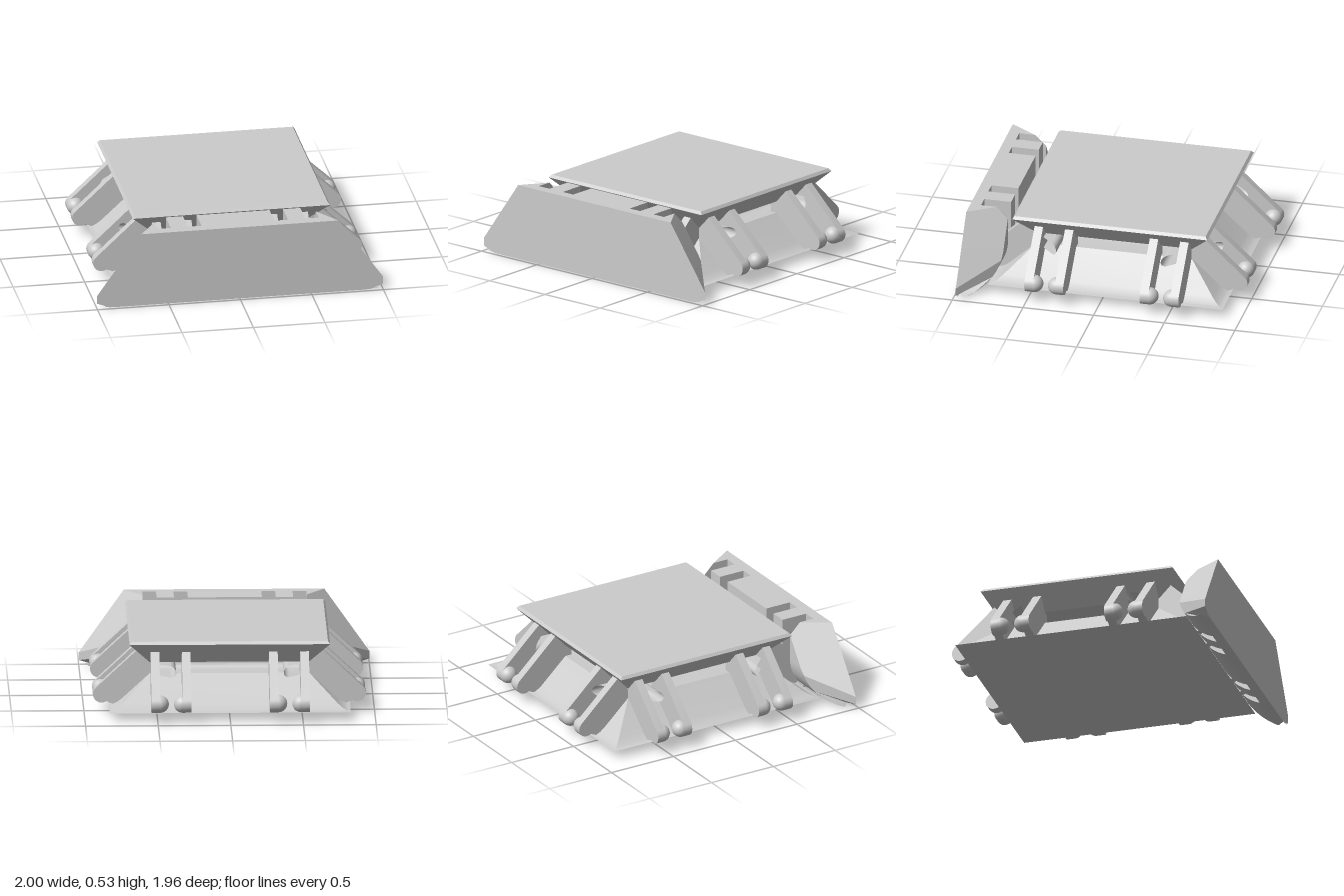
import * as THREE from 'three';
import { toCreasedNormals } from 'three/addons/utils/BufferGeometryUtils.js';

const mat = new THREE.MeshStandardMaterial({ color: 0xcccccc });
const thinMat = new THREE.MeshStandardMaterial({ color: 0xcccccc, side: THREE.DoubleSide });

function addMesh(parent, name, geometry, material = mat) {
  const m = new THREE.Mesh(geometry, material);
  m.name = name;
  parent.add(m);
  return m;
}

// Solid with a [z, y] outline, spanning x from xa to xb (numbers or functions of z, y)
function prism(outline, xa, xb) {
  const shape = new THREE.Shape(outline.map(([z, y]) => new THREE.Vector2(-z, y)));
  const g = new THREE.ExtrudeGeometry(shape, { depth: 1, bevelEnabled: false });
  g.rotateY(Math.PI / 2);
  const p = g.attributes.position;
  const at = (f, z, y) => (typeof f === 'function' ? f(z, y) : f);
  for (let i = 0; i < p.count; i++) {
    p.setX(i, at(p.getX(i) < 0.5 ? xa : xb, p.getZ(i), p.getY(i)));
  }
  return toCreasedNormals(g, 0.5);
}

// Square mitred solid from [half width, y] points, bottom to top
function squareSolid(points) {
  const pts = points.map(([h, y]) => new THREE.Vector2(h * Math.SQRT2, y));
  return toCreasedNormals(new THREE.LatheGeometry(pts, 4, Math.PI / 4), 0.5);
}

// Deep rounded groove along the +z side, widening as it goes inward
function grooveStrip() {
  const prof = [[0, 0.28]];
  for (let i = 0; i <= 12; i++) {
    const a = -Math.PI / 2 + (Math.PI * i) / 12;
    prof.push([0.14 + 0.04 * Math.cos(a), 0.32 + 0.04 * Math.sin(a)]);
  }
  prof.push([0, 0.36]);
  const pos = [], idx = [];
  prof.forEach(([d, y], i) => {
    pos.push(-0.55 - d, y, 0.55 - d, 0.55 + d, y, 0.55 - d);
    const k = i * 2;
    if (i) idx.push(k - 2, k - 1, k + 1, k - 2, k + 1, k);
  });
  const g = new THREE.BufferGeometry();
  g.setAttribute('position', new THREE.Float32BufferAttribute(pos, 3));
  g.setIndex(idx);
  return toCreasedNormals(g, 0.5);
}

// Snap arm outline: sloping outer edge, round tip, foot on the base
function armOutline() {
  const pts = [[0.5, 0.28], [0.5, 0.46], [0.62, 0.46]];
  for (let i = 0; i <= 14; i++) {
    const a = 0.75 - (2.9 * i) / 14;
    pts.push([0.88 + 0.06 * Math.cos(a), 0.135 + 0.06 * Math.sin(a)]);
  }
  pts.push([0.8, 0.065], [0.74, 0.1]);
  return pts;
}

// Front rail
const ZF = 0.975, ZB = 0.71, TOP = 0.53, R = 0.265;
function railArc(a0, a1, n = 20) {
  const pts = [];
  for (let i = 0; i <= n; i++) {
    const a = a0 + ((a1 - a0) * i) / n;
    pts.push([ZF - R * Math.cos(a), 0.27 - R * Math.sin(a) * (0.27 / R)]);
  }
  return pts;
}

// Mitred and sloping end of the rail, with a rounded lower corner
function railEnd(z, y) {
  const d = ZF - z;
  let x = Math.min(0.69 + 0.705 * (TOP - y) - 0.67 * d, 1 - d);
  if (y < 0.035) {
    const t = (0.035 - y) / 0.035;
    x = Math.min(x, 0.88 + 0.12 * Math.sqrt(Math.max(0, 1 - t * t)));
  }
  return Math.max(0.565, x);
}

function createRail() {
  const rail = new THREE.Group();
  rail.name = 'frontRail';
  const half = Math.PI / 2, split = 0.2245;
  const full = [[ZF, TOP], [ZB, TOP], ...railArc(0, half)];
  const slotWall = [[ZF, TOP], [0.9, TOP], ...railArc(Math.acos(0.075 / R), half, 8)];
  addMesh(rail, 'railCentre', prism(full, -0.255, 0.255));

  const endUpper = [[ZF, TOP], [0.79, TOP], [ZB, 0.45], ...railArc(0, split, 5), [ZF, 0.09]];
  const endLower = [[ZF, 0.09], ...railArc(split, half, 24)];
  for (let i = 3; i >= 1; i--) endLower.push([ZF, 0.035 * (1 - Math.sqrt(1 - (i / 4) ** 2))]);
  endLower.push([ZF, 0.035]);

  for (const s of [-1, 1]) {
    const side = s > 0 ? 'Left' : 'Right';
    const add = (name, outline, a, b) => {
      const flip = (f) => (typeof f === 'function' ? (z, y) => -f(z, y) : -f);
      addMesh(rail, name + side, s > 0 ? prism(outline, a, b) : prism(outline, flip(b), flip(a)));
    };
    add('innerSlotWall', slotWall, 0.255, 0.35);
    add('railRib', full, 0.35, 0.47);
    add('outerSlotWall', slotWall, 0.47, 0.565);
    add('railEndUpper', endUpper, 0.565, railEnd);
    add('railEndLower', endLower, 0.565, railEnd);
  }
  return rail;
}

export function createModel() {
  const model = new THREE.Group();
  model.name = 'snapConnector';
  const body = new THREE.Group();
  body.name = 'body';
  body.position.z = -0.04;
  model.add(body);

  // Flared base and bevelled top plate
  addMesh(body, 'base', squareSolid([
    [0, 0.06], [0.83, 0.06], [0.8, 0.068], [0.77, 0.083], [0.74, 0.105], [0.55, 0.28],
  ]));
  addMesh(body, 'topPlate', squareSolid([
    [0.55, 0.36], [0.69, 0.51], [0.675, TOP], [0, TOP],
  ]));

  // Four sides, each with a groove and two pairs of snap arms
  const groove = grooveStrip();
  const outline = armOutline();
  const ball = new THREE.SphereGeometry(0.06, 24, 16);
  for (let k = 0; k < 4; k++) {
    const side = new THREE.Group();
    side.name = 'side' + k;
    side.rotation.y = (k * Math.PI) / 2;
    body.add(side);
    addMesh(side, 'groove', groove, thinMat);
    for (const s of [-1, 1]) {
      for (const [inner, outer, ballX] of [[0.27, 0.33, 0.33], [0.485, 0.545, 0.485]]) {
        addMesh(side, 'snapArm', prism(outline, Math.min(s * inner, s * outer), Math.max(s * inner, s * outer)));
        addMesh(side, 'snapBall', ball).position.set(s * ballX, 0.135, 0.88);
      }
    }
  }

  model.add(createRail());
  return model;
}
